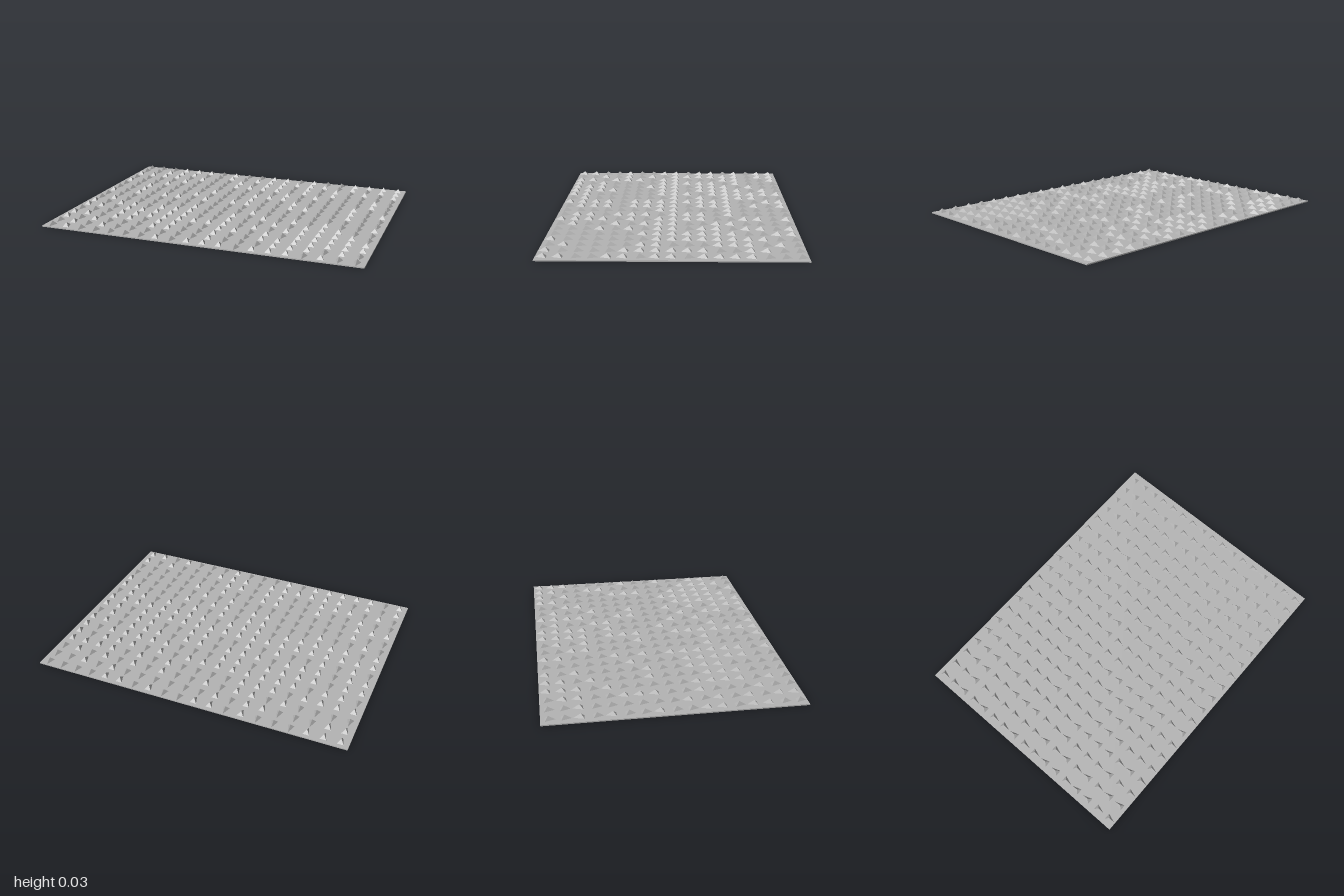
import * as THREE from 'three';

// Stud directions, back row first: D points to the front, U to the back
const ROWS = [
  'DDDUUUDUDDUUDUDDUUUU',
  'DDUUUDDUDUUUUUUDUDUU',
  'UUUUDUDDUDUUDUDUDUDU',
  'DDDDUDDDUUUUDUDUDDDD',
  'UDDUDDDDDDDDUDUDDDUD',
  'DDUDDDDUDDUUUDDDDDUD',
  'DDUDDDUDDDUDDUDDDUDD',
  'UDUDUUDUDUUDDUUDDUDU',
  'DDDDDDDDDDDDDDDDDUDD',
  'DUDDDDDUDDDUDDDDDDDD',
  'UDUUDUUUDDUDUDUDUDDU',
  'UUDUUUUUDDUDDUDUUUDD',
  'DDDUUUUUUUUDUDUUUUUD',
  'UUDUUDUUDDUUDUDUUUUU',
  'UDUDDDUUDDUDDUUUUUUU',
  'DUDUDDDDDDUDDDUUUDUD',
  'DUDDDDDUDUUUDUUUDUDD',
];

export function createModel() {
  const model = new THREE.Group();
  const grey = new THREE.MeshStandardMaterial({ color: 0xb4b4b4, flatShading: true });
  grey.name = 'grey';

  const thickness = 0.007;
  const width = 2;
  const depth = 1.5;

  // Thin base sheet
  const sheet = new THREE.Mesh(new THREE.BoxGeometry(width, thickness, depth), grey);
  sheet.name = 'sheet';
  sheet.position.y = thickness / 2;
  model.add(sheet);

  // Three-sided pointed stud, narrowed across its width
  const height = 0.025;
  const studShape = new THREE.ConeGeometry(0.04, height, 3, 1, true);
  studShape.scale(0.58, 1, 1);
  studShape.translate(0, thickness + height / 2, 0);

  // Grid of studs, each facing the front or the back
  const studs = new THREE.Group();
  studs.name = 'studs';
  const pitchZ = depth / ROWS.length;
  ROWS.forEach((row, r) => {
    const pitchX = width / row.length;
    [...row].forEach((direction, c) => {
      const stud = new THREE.Mesh(studShape, grey);
      stud.name = 'stud';
      stud.position.set((c + 0.5) * pitchX - width / 2, 0, (r + 0.5) * pitchZ - depth / 2);
      if (direction === 'U') stud.rotation.y = Math.PI;
      studs.add(stud);
    });
  });
  model.add(studs);
  return model;
}
